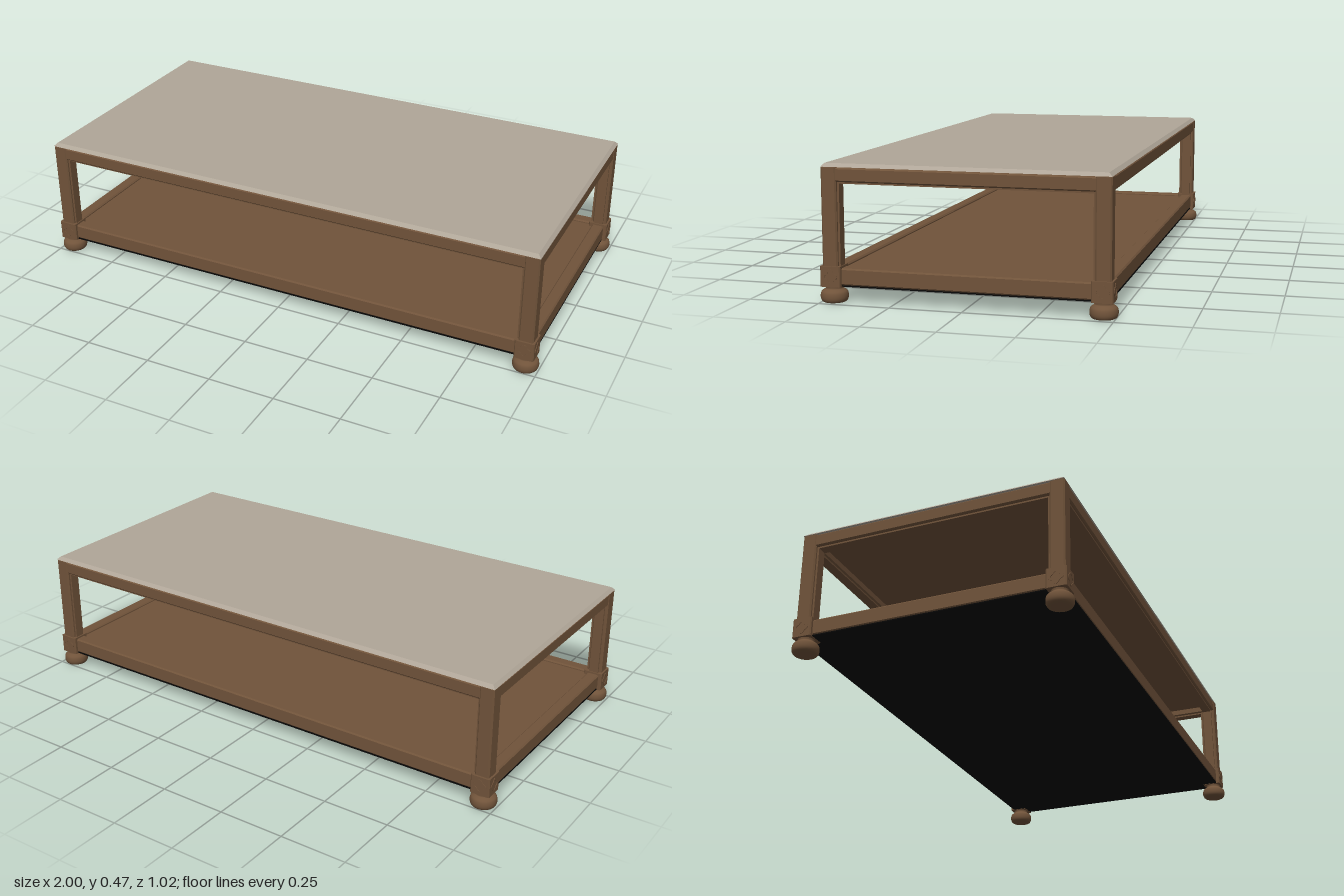
import * as THREE from 'three';

const wood = new THREE.MeshStandardMaterial({ color: 0x70533a });
wood.name = 'brown wood';
const stone = new THREE.MeshStandardMaterial({ color: 0xb0a698 });
stone.name = 'beige stone';
const black = new THREE.MeshStandardMaterial({ color: 0x060606 });
black.name = 'black underside';

// Corner post centre
const CX = 0.953, CZ = 0.461;

function add(parent, name, geometry, material, x = 0, y = 0, z = 0) {
  const mesh = new THREE.Mesh(geometry, material);
  mesh.name = name;
  mesh.position.set(x, y, z);
  parent.add(mesh);
  return mesh;
}

// Bar along z with chamfered long edges, centred on the origin
function bar(w, h, length, c = 0.005) {
  const a = w / 2, b = h / 2;
  const pts = [[-a + c, -b], [a - c, -b], [a, -b + c], [a, b - c], [a - c, b], [-a + c, b], [-a, b - c], [-a, -b + c]];
  const shape = new THREE.Shape(pts.map(p => new THREE.Vector2(...p)));
  return new THREE.ExtrudeGeometry(shape, { depth: length, bevelEnabled: false }).translate(0, 0, -length / 2);
}

// Four-lobed outline
function quatrefoil(r) {
  const pts = [];
  for (let i = 0; i < 32; i++) {
    const t = i / 32 * Math.PI * 2;
    const s = r * (0.86 + 0.14 * Math.cos(4 * t));
    pts.push(new THREE.Vector2(s * Math.cos(t), s * Math.sin(t)));
  }
  return pts;
}

function rosetteGeometry() {
  const shape = new THREE.Shape(quatrefoil(0.026));
  shape.holes.push(new THREE.Path(quatrefoil(0.019).reverse()));
  return new THREE.ExtrudeGeometry(shape, { depth: 0.003, bevelEnabled: false });
}

// Slab with sloping sides
function slabGeometry() {
  const g = new THREE.BoxGeometry(1.966, 0.012, 0.98);
  const p = g.attributes.position;
  for (let i = 0; i < p.count; i++) {
    if (p.getY(i) > 0) {
      p.setX(i, p.getX(i) - Math.sign(p.getX(i)) * 0.012);
      p.setZ(i, p.getZ(i) - Math.sign(p.getZ(i)) * 0.012);
    }
  }
  const flat = g.toNonIndexed();
  flat.computeVertexNormals();
  return flat;
}

export function createModel() {
  const table = new THREE.Group();
  table.name = 'coffeeTable';

  // Top
  add(table, 'topSlab', slabGeometry(), stone, 0, 0.464, 0);
  add(table, 'topBoard', new THREE.BoxGeometry(1.86, 0.02, 0.88), wood, 0, 0.444, 0);

  // Lower shelf and its dark underside
  add(table, 'shelf', new THREE.BoxGeometry(1.88, 0.045, 0.89), wood, 0, 0.0865, 0);
  add(table, 'shelfUnderside', new THREE.BoxGeometry(1.95, 0.004, 0.966), black, 0, 0.058, 0);

  // Rails on all four sides, with a slim bead on the inner edge of the upper ones
  const upperLong = bar(0.05, 0.048, 1.86), upperShort = bar(0.05, 0.048, 0.88);
  const lowerLong = bar(0.046, 0.058, 1.85), lowerShort = bar(0.046, 0.058, 0.86);
  const beadLong = new THREE.BoxGeometry(0.036, 0.006, 1.84), beadShort = new THREE.BoxGeometry(0.036, 0.006, 0.86);
  for (const s of [-1, 1]) {
    add(table, 'upperLongRail', upperLong, wood, 0, 0.432, s * (CZ + 0.002)).rotation.y = Math.PI / 2;
    add(table, 'lowerLongRail', lowerLong, wood, 0, 0.089, s * CZ).rotation.y = Math.PI / 2;
    add(table, 'longBead', beadLong, wood, 0, 0.405, s * CZ).rotation.y = Math.PI / 2;
    add(table, 'upperShortRail', upperShort, wood, s * (CX + 0.002), 0.432, 0);
    add(table, 'lowerShortRail', lowerShort, wood, s * CX, 0.089, 0);
    add(table, 'shortBead', beadShort, wood, s * CX, 0.405, 0);
  }

  // Corners: post, carved block and bun foot
  const post = bar(0.054, 0.054, 0.34);
  const bead = new THREE.BoxGeometry(0.036, 0.31, 0.036);
  const block = bar(0.072, 0.072, 0.07, 0.004);
  const rosette = rosetteGeometry();
  const foot = new THREE.LatheGeometry(new THREE.SplineCurve([
    [0.0001, 0], [0.034, 0], [0.044, 0.007], [0.047, 0.02], [0.044, 0.035], [0.034, 0.043], [0.029, 0.047], [0.03, 0.058],
  ].map(p => new THREE.Vector2(...p))).getPoints(24), 28);
  for (const sx of [-1, 1]) for (const sz of [-1, 1]) {
    const corner = new THREE.Group();
    corner.name = (sz > 0 ? 'front' : 'back') + (sx > 0 ? 'Left' : 'Right') + 'Leg';
    corner.position.set(sx * CX, 0, sz * CZ);
    add(corner, 'post', post, wood, sx * 0.002, 0.286, sz * 0.002).rotation.x = Math.PI / 2;
    add(corner, 'postBeadX', bead, wood, -sx * 0.014, 0.26, 0);
    add(corner, 'postBeadZ', bead, wood, 0, 0.26, -sz * 0.014);
    add(corner, 'block', block, wood, 0, 0.09, 0).rotation.x = Math.PI / 2;
    add(corner, 'rosetteZ', rosette, wood, 0, 0.09, sz * 0.035).rotation.y = sz > 0 ? 0 : Math.PI;
    add(corner, 'rosetteX', rosette, wood, sx * 0.035, 0.09, 0).rotation.y = sx * Math.PI / 2;
    add(corner, 'foot', foot, wood);
    table.add(corner);
  }
  return table;
}
